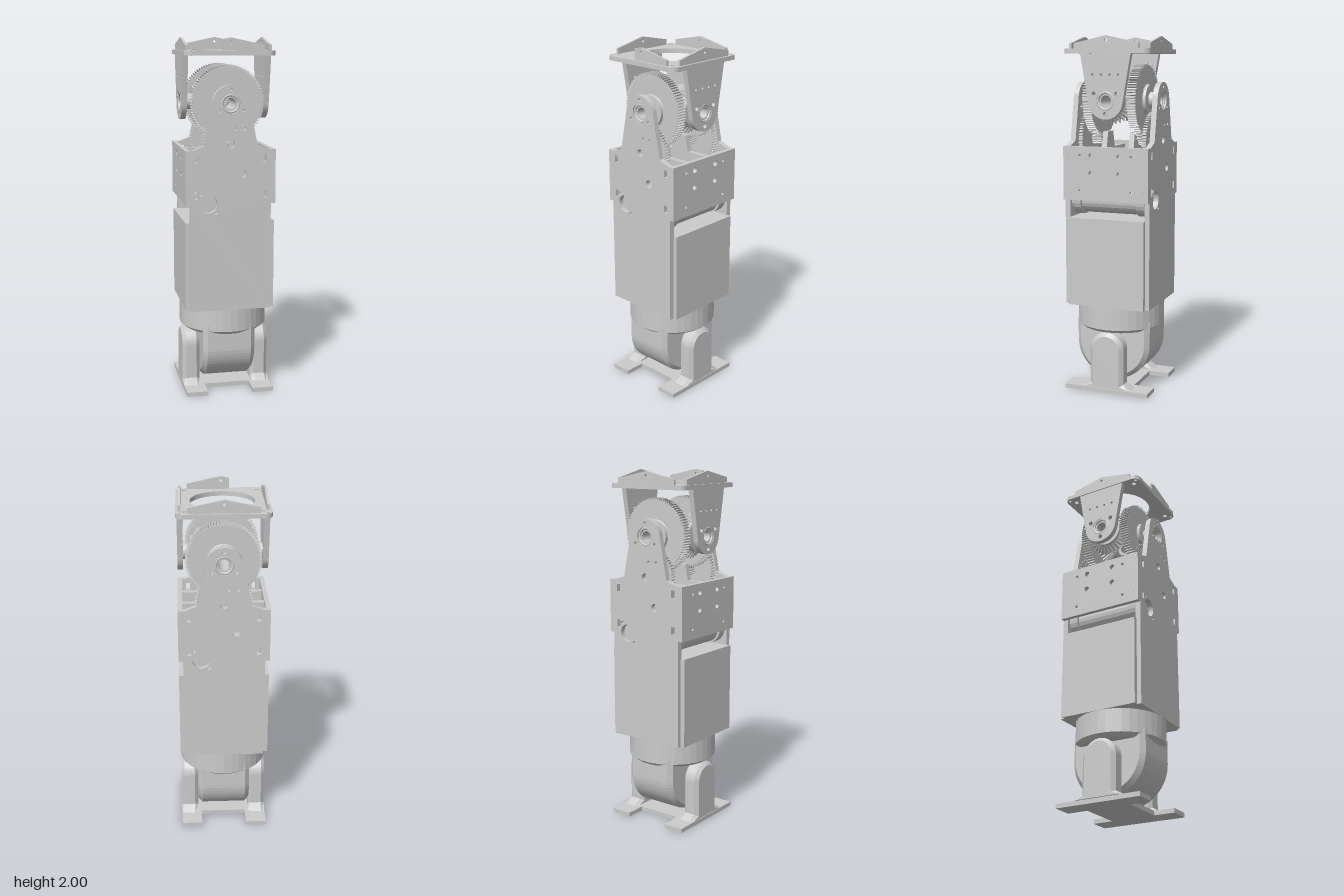
import * as THREE from 'three';

const mat = new THREE.MeshStandardMaterial({ color: 0xcccccc, flatShading: true, side: THREE.DoubleSide });

function add(parent, name, geo, x = 0, y = 0, z = 0) {
  const m = new THREE.Mesh(geo, mat);
  m.name = name;
  m.position.set(x, y, z);
  parent.add(m);
  return m;
}
const box = (w, h, d) => new THREE.BoxGeometry(w, h, d);
const poly = (pts) => new THREE.Shape(pts.map(([x, y]) => new THREE.Vector2(x, y)));

function hole(shape, x, y, r) {
  shape.holes.push(new THREE.Path().absarc(x, y, r, 0, Math.PI * 2, true));
}
function slot(shape, x, y, w, h) {
  shape.holes.push(poly([[x - w / 2, y - h / 2], [x - w / 2, y + h / 2], [x + w / 2, y + h / 2], [x + w / 2, y - h / 2]]));
}
// Extrudes along +z; an optional bevel stays inside the outline and depth
function extrude(shape, depth, bevel = 0) {
  const geo = new THREE.ExtrudeGeometry(shape, {
    depth: depth - 2 * bevel, bevelEnabled: bevel > 0, bevelSize: bevel,
    bevelThickness: bevel, bevelOffset: -bevel, bevelSegments: 1, curveSegments: 16,
  });
  return geo.translate(0, 0, bevel);
}
// Group facing outward: 0 front, PI back, +-PI/2 sides
function turned(parent, name, angle) {
  const g = new THREE.Group();
  g.name = name;
  g.rotation.y = angle;
  parent.add(g);
  return g;
}
function spurGear(r, teeth, depth, width, bore) {
  const pts = [];
  for (let i = 0; i < teeth; i++) {
    [[0, r - depth], [0.45, r - depth], [0.6, r], [0.85, r]].forEach(([t, rad]) => {
      const a = ((i + t) / teeth) * Math.PI * 2;
      pts.push([rad * Math.cos(a), rad * Math.sin(a)]);
    });
  }
  const s = poly(pts);
  hole(s, 0, 0, bore);
  return extrude(s, width);
}
// Hollow bevel gear with hub, its axis along z and its cone tip at the origin
function bevelGear() {
  const profile = [[0.03, 0.05], [0.05, 0.05], [0.13, 0.13], [0.085, 0.158], [0.085, 0.174],
    [0.045, 0.176], [0.045, 0.235], [0.03, 0.235], [0.03, 0.05]];
  const geo = new THREE.LatheGeometry(profile.map(([x, y]) => new THREE.Vector2(x, y)), 120);
  const p = geo.attributes.position;
  for (let i = 0; i < p.count; i++) {
    const row = i % profile.length, seg = Math.floor(i / profile.length);
    if ((row === 1 || row === 2) && seg % 4 < 2) {
      p.setX(i, p.getX(i) * 0.87);
      p.setZ(i, p.getZ(i) * 0.87);
    }
  }
  geo.rotateX(Math.PI / 2);
  return geo;
}

function createBase(root) {
  // H-shaped foot
  const foot = poly([[-0.25, -0.25], [-0.13, -0.25], [-0.13, -0.13], [0.13, -0.13], [0.13, -0.25], [0.25, -0.25],
    [0.25, 0.25], [0.13, 0.25], [0.13, 0.13], [-0.13, 0.13], [-0.13, 0.25], [-0.25, 0.25]]);
  add(root, 'footPlate', extrude(foot, 0.025).rotateX(-Math.PI / 2));

  // Rounded uprights with flared roots
  for (const s of [1, -1]) {
    const g = turned(root, s > 0 ? 'leftUpright' : 'rightUpright', s * Math.PI / 2);
    const arm = new THREE.Shape();
    arm.moveTo(-0.155, 0.02);
    arm.lineTo(-0.1, 0.055);
    arm.lineTo(-0.1, 0.25);
    arm.absarc(0, 0.25, 0.1, Math.PI, 0, true);
    arm.lineTo(0.1, 0.055);
    arm.lineTo(0.155, 0.02);
    add(g, 'upright', extrude(arm, 0.1, 0.02), 0, 0, 0.15);
  }

  // Tilting drum between the uprights
  const drum = new THREE.Shape();
  drum.moveTo(0.22, 0.4);
  drum.lineTo(-0.22, 0.4);
  drum.lineTo(-0.22, 0.27);
  drum.absarc(0, 0.27, 0.22, Math.PI, Math.PI * 2, false);
  add(turned(root, 'tiltDrum', Math.PI / 2), 'drum', extrude(drum, 0.3, 0.025), 0, 0, -0.15);

  // Round turntable
  add(root, 'turntable', new THREE.CylinderGeometry(0.25, 0.25, 0.13, 36), 0, 0.435, 0);
  add(root, 'turntableChamfer', new THREE.CylinderGeometry(0.25, 0.225, 0.02, 36), 0, 0.36, 0);
}

function createBody(root) {
  add(root, 'lowerHousing', box(0.5, 0.5, 0.45), 0, 0.75, 0);

  // Tall front and back plates that carry the main axle
  for (const a of [0, Math.PI]) {
    const g = turned(root, a ? 'backPlate' : 'frontPlate', a);
    const s = poly([[-0.225, 0.5], [0.225, 0.5], [0.225, 1.1], [0.25, 1.1], [0.25, 1.4], [0.21, 1.4], [0.147, 1.425], [0.097, 1.68]]);
    s.absarc(0, 1.65, 0.1, 0.3, Math.PI - 0.3, false);
    [[-0.147, 1.425], [-0.21, 1.4], [-0.25, 1.4], [-0.25, 1.1], [-0.225, 1.1]].forEach(([x, y]) => s.lineTo(x, y));
    hole(s, 0, 1.65, 0.052);
    hole(s, 0, 1.43, 0.022);
    hole(s, 0.065, 1.268, 0.022);
    hole(s, -0.125, 1.105, 0.05);
    [[0, 1.725], [-0.065, 1.612], [0.065, 1.612], [0.025, 1.515], [0.075, 1.515], [-0.082, 1.055], [-0.165, 1.16]]
      .forEach(([x, y]) => hole(s, x, y, 0.009));
    for (const x of [-0.19, 0.19]) for (const y of [1.355, 1.155]) slot(s, x, y, 0.022, 0.042);
    add(g, 'plate', extrude(s, 0.03), 0, 0, 0.22);

    // Motor, reduction gear and pinion
    const motor = add(g, 'motor', new THREE.CylinderGeometry(0.08, 0.08, 0.32, 24), -0.125, 1.1, 0);
    motor.rotation.x = Math.PI / 2;
    for (const z of [-0.19, 0.19])
      add(g, 'motorCap', new THREE.CylinderGeometry(0.09, 0.09, 0.05, 24).rotateX(Math.PI / 2), -0.125, 1.1, z);
    add(g, 'reductionGear', spurGear(0.155, 60, 0.012, 0.022, 0.012), 0, 1.43, 0.178);
    add(g, 'pinion', spurGear(0.035, 14, 0.01, 0.06, 0.01), 0, 1.43, 0.11);
    add(g, 'pinionShaft', new THREE.CylinderGeometry(0.013, 0.013, 0.16, 12).rotateX(Math.PI / 2), 0, 1.43, 0.15);

    // Inner bearing wall
    const wall = poly([[-0.225, 1.2], [0.225, 1.2], [0.225, 1.38], [0.06, 1.38], [0.04, 1.47], [-0.04, 1.47], [-0.06, 1.38], [-0.225, 1.38]]);
    add(g, 'bearingWall', extrude(wall, 0.03), 0, 0, 0.066);
  }

  // Upper side plates with screw holes
  for (const s of [1, -1]) {
    const g = turned(root, s > 0 ? 'leftSidePlate' : 'rightSidePlate', s * Math.PI / 2);
    const p = poly([[-0.25, 1.1], [0.25, 1.1], [0.25, 1.4], [-0.25, 1.4]]);
    for (const m of [-1, 1]) {
      [[0.083, 1.35, 0.015], [0.083, 1.253, 0.015], [0.232, 1.35, 0.013], [0.232, 1.155, 0.013], [0.15, 1.155, 0.008], [0.15, 1.35, 0.008]]
        .forEach(([x, y, r]) => hole(p, m * x, y, r));
    }
    add(g, 'plate', extrude(p, 0.025), 0, 0, 0.225);
  }
}

function createDifferential(root) {
  const bevel = bevelGear();
  for (let i = 0; i < 4; i++) {
    const g = turned(root, 'differentialGear', i * Math.PI / 2);
    g.position.y = 1.65;
    add(g, 'bevelGear', bevel);
    add(g, 'axleRing', new THREE.TorusGeometry(0.046, 0.008, 8, 28), 0, 0, 0.236);
    if (i % 2 === 0) add(g, 'mainGear', spurGear(0.205, 84, 0.013, 0.05, 0.04), 0, 0, 0.105);
  }
}

function createTopYoke(root) {
  // Square flange with a large round opening
  const f = new THREE.Shape();
  const c = 0.21;
  for (let i = 0; i < 4; i++) {
    const a = i * Math.PI / 2 + Math.PI / 4;
    f.absarc(c * Math.sign(Math.cos(a)), c * Math.sign(Math.sin(a)), 0.04, i * Math.PI / 2, (i + 1) * Math.PI / 2, false);
  }
  hole(f, 0, 0, 0.175);
  for (const x of [-1, 1]) for (const y of [-1, 1]) {
    hole(f, x * 0.2, y * 0.2, 0.013);
    hole(f, x * 0.228, y * 0.228, 0.008);
  }
  add(root, 'flange', extrude(f, 0.025).rotateX(-Math.PI / 2), 0, 1.905, 0);

  // Peaked ribs on each edge; the front one is cut short
  for (let i = 0; i < 4; i++) {
    const g = turned(root, 'flangeRib', i * Math.PI / 2);
    const start = i === 0 ? [[-0.045, 1.99], [-0.045, 1.925]] : [[-0.188, 1.96], [-0.188, 1.925]];
    const s = poly([[0, 2], ...start, [0.188, 1.925], [0.188, 1.96]]);
    hole(s, 0, 1.975, 0.008);
    add(g, 'rib', extrude(s, 0.014), 0, 0, 0.223);
  }

  // Tapered hanging arms
  for (const side of [1, -1]) {
    const g = turned(root, side > 0 ? 'leftArm' : 'rightArm', side * Math.PI / 2);
    const s = poly([[0.147, 1.91], [-0.147, 1.91], [-0.099, 1.635]]);
    s.absarc(0, 1.65, 0.1, Math.PI + 0.15, Math.PI * 2 - 0.15, false);
    hole(s, 0, 1.65, 0.052);
    [[0, 1.58], [-0.066, 1.688], [0.066, 1.688]].forEach(([x, y]) => hole(s, x, y, 0.013));
    [-0.075, -0.025, 0.025, 0.075].forEach((x) => hole(s, x, 1.79, 0.007));
    add(g, 'arm', extrude(s, 0.03), 0, 0, 0.215);
  }
}

export function createModel() {
  const root = new THREE.Group();
  root.name = 'roboticJointColumn';
  createBase(root);
  createBody(root);
  createDifferential(root);
  createTopYoke(root);
  return root;
}
